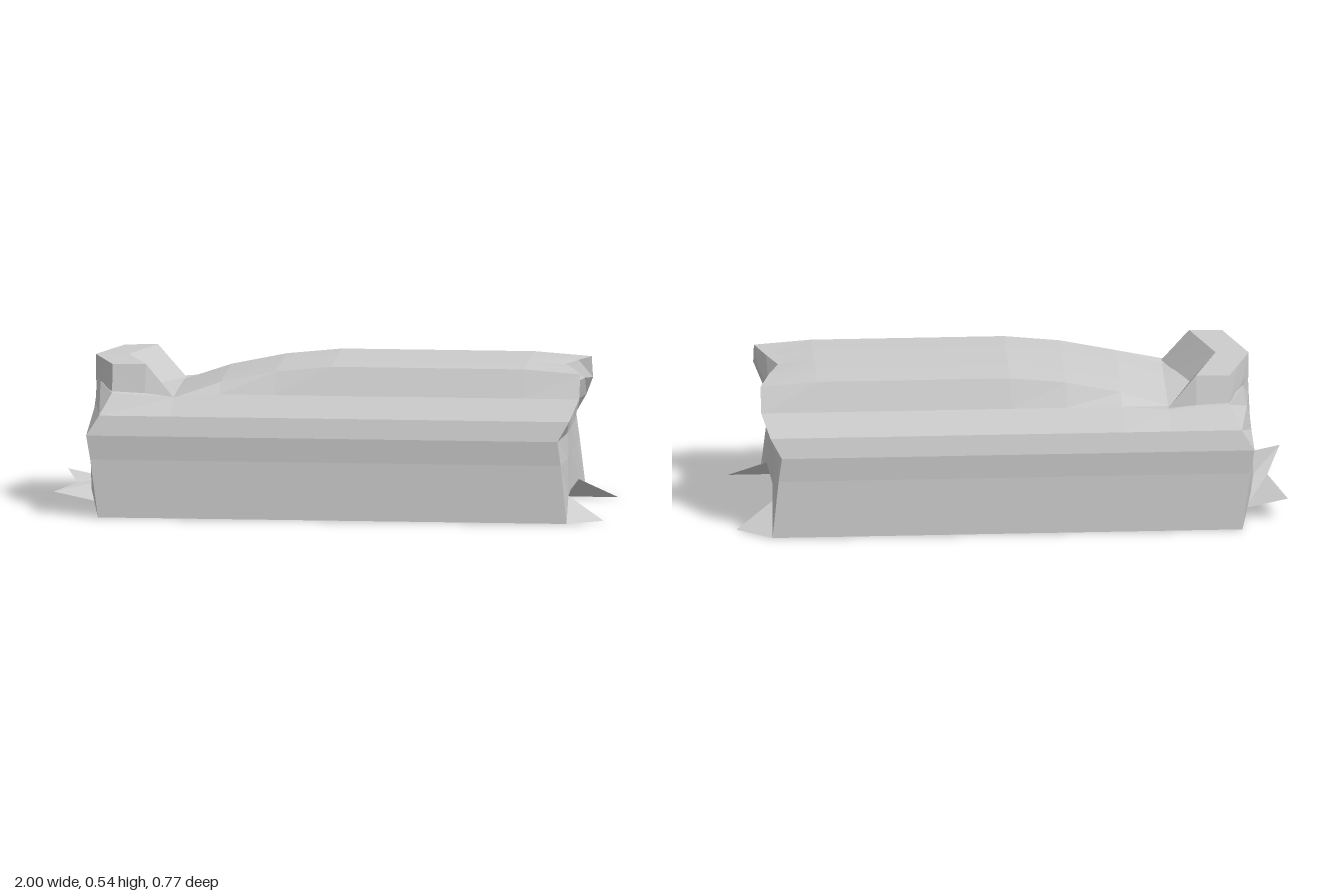
import * as THREE from 'three';

// Surface through rows of [x, y, z] points
function surface(rows, closed = false) {
  const pos = [];
  const n = rows[0].length;
  for (let i = 0; i < rows.length - 1; i++) {
    for (let j = 0; j < (closed ? n : n - 1); j++) {
      const k = (j + 1) % n;
      const a = rows[i][j], b = rows[i][k], c = rows[i + 1][k], d = rows[i + 1][j];
      pos.push(...a, ...b, ...c, ...a, ...c, ...d);
    }
  }
  const geo = new THREE.BufferGeometry();
  geo.setAttribute('position', new THREE.Float32BufferAttribute(pos, 3));
  geo.computeVertexNormals();
  return geo;
}

const mirror = ([x, y, z]) => [x, y, -z];

// Half section from deck centre, down the side, to the floor centre
function halfSection(deck, xs) {
  const edge = Math.min(0.44, deck);
  const zy = [
    [0, deck], [0.1, deck], [0.22, deck - 0.004], [0.27, edge], [0.34, 0.367],
    [0.363, 0.297], [0.365, 0.21], [0.385, 0.002], [0.285, 0], [0.2, 0.077], [0, 0.07],
  ];
  return zy.map(([z, y], i) => [Array.isArray(xs) ? xs[i] : xs, y, z]);
}

const fullRing = (half) => [...half, ...half.slice(1, -1).reverse().map(mirror)];

// End cap: the section's outer points joined to inner and centre columns
function endCap(half, innerX, centreX) {
  const outer = [2, 3, 4, 5, 6, 7];
  const zs = [0.1, 0.12, 0.133, 0.145, 0.168, 0.2];
  const ys = [half[1][1], 0.46, 0.385, 0.297, 0.21, 0.077];
  return outer.map((o, i) => {
    const top = i === 0, bottom = i === 5;
    const inner = top ? half[1] : bottom ? half[9] : [innerX[i], ys[i], zs[i]];
    const centre = top ? half[0] : bottom ? half[10] : [centreX[i], ys[i], 0];
    return [half[o], inner, centre, mirror(inner), mirror(half[o])];
  });
}

export function createModel() {
  const group = new THREE.Group();
  const grey = new THREE.MeshStandardMaterial({ color: 0xcccccc, flatShading: true, side: THREE.DoubleSide });
  grey.name = 'light grey';
  const add = (name, geo) => {
    const mesh = new THREE.Mesh(geo, grey);
    mesh.name = name;
    group.add(mesh);
  };

  // Long body shell with notched ends
  const left = halfSection(0.45, [-0.87, -0.837, -0.79, -0.79, -0.83, -0.875, -0.86, -0.83, -0.83, -0.87, -0.89]);
  const right = halfSection(0.528, [0.83, 0.868, 0.905, 0.905, 0.875, 0.835, 0.847, 0.87, 0.995, 0.86, 0.85]);
  const middle = [[-0.57, 0.425], [-0.4, 0.482], [-0.2, 0.523], [0, 0.543], [0.7, 0.543]];
  const sections = [left, ...middle.map(([x, deck]) => halfSection(deck, x)), right];
  add('bodyShell', surface(sections.map(fullRing).reverse(), true));

  // Faceted end caps
  add('rightEndCap', surface(endCap(right,
    [0, 0.89, 0.87, 0.85, 0.855], [0, 0.865, 0.857, 0.85, 0.85])));
  add('leftEndCap', surface(endCap(left,
    [0, -0.845, -0.86, -0.875, -0.878], [0, -0.87, -0.873, -0.877, -0.883]).reverse()));

  // Small gussets closing the skirt ends
  for (const half of [left, right]) {
    for (const side of [1, -1]) {
      const tri = [half[7], half[8], half[9]].map((p) => (side > 0 ? p : mirror(p)));
      const geo = new THREE.BufferGeometry();
      geo.setAttribute('position', new THREE.Float32BufferAttribute(tri.flat(), 3));
      geo.computeVertexNormals();
      add('skirtGusset', geo);
    }
  }

  // Raised chevron hump: side profile swept across the width
  const profile = [[-0.79, 0.445], [-0.79, 0.54], [-0.67, 0.543], [-0.57, 0.425]];
  const strips = [-1, -0.5, 0, 0.5, 1].map((t) => profile.map(([x, y], i) => {
    const z = t * (i === 0 ? 0.265 : i === 3 ? 0.25 : 0.237);
    return [x - 0.083 * (1 - Math.abs(t)), y, z];
  }));
  add('hump', surface(strips));
  for (const s of [0, 4]) {
    const [a, b, c, d] = strips[s];
    const z = Math.sign(a[2]);
    const shoulder = [-0.67, 0.44, z * 0.267];
    add('humpSide', surface([[b, c, d], [a, shoulder, d]]));
  }

  // Swept lip under the left end
  const lipOuter = [[-1, 0.078, 0.28], [-0.94, 0.07, 0], [-1, 0.078, -0.28]];
  const lipInner = [[-0.845, 0.045, 0.28], [-0.885, 0.068, 0], [-0.845, 0.045, -0.28]];
  add('leftLip', surface([lipOuter, lipInner]));

  return group;
}
